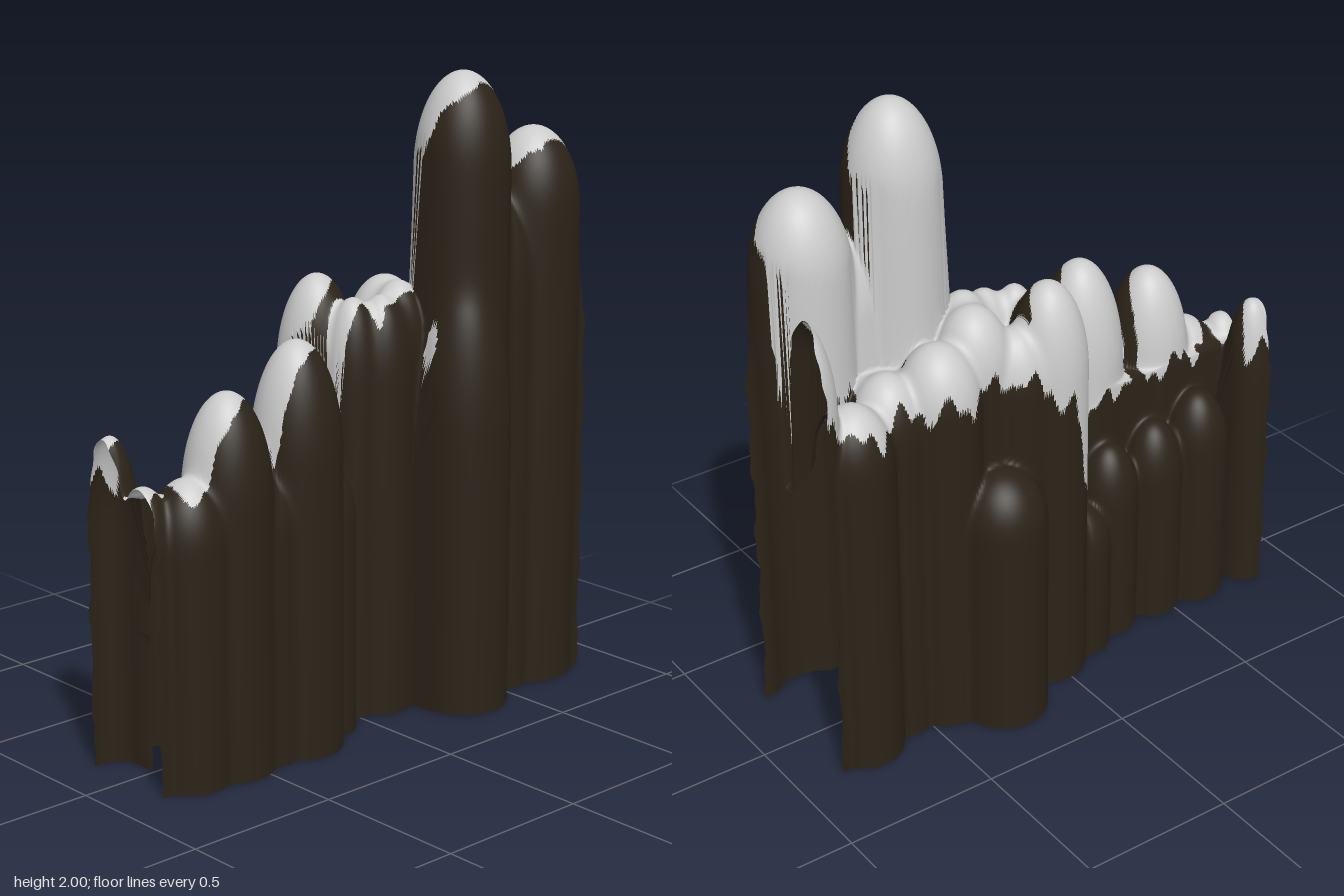
import * as THREE from 'three';

// Rounded pillars: x, z, radius, top height, dome length
const PILLARS = [
  // front row
  [-0.83, 0.08, 0.09, 0.92, 0.2], [-0.7, 0.12, 0.12, 0.93, 0.2], [-0.55, 0.12, 0.135, 1.16, 0.32],
  [-0.42, 0.13, 0.1, 0.9, 0.2], [-0.28, 0.12, 0.14, 1.27, 0.36], [-0.13, 0.08, 0.095, 0.86, 0.2],
  [0.04, 0.02, 0.09, 1.33, 0.25], [0.13, 0.05, 0.1, 1.33, 0.25], [0.22, 0.03, 0.1, 1.36, 0.2],
  [0.395, 0.13, 0.15, 2.0, 0.3], [0.35, 0.19, 0.15, 1.4, 0.5],
  [0.71, 0.13, 0.15, 1.8, 0.26], [0.55, 0.14, 0.11, 1.6, 0.3], [0.83, 0.14, 0.1, 1.5, 0.5],
  // back row
  [-0.83, -0.07, 0.085, 1.04, 0.3], [-0.63, -0.05, 0.105, 0.76, 0.2], [-0.46, -0.04, 0.1, 0.7, 0.2],
  [-0.28, -0.04, 0.1, 0.68, 0.2], [-0.14, -0.08, 0.1, 0.52, 0.15], [0.01, -0.11, 0.125, 1.39, 0.3],
  [0.13, -0.11, 0.11, 1.27, 0.2], [0.25, -0.21, 0.14, 0.87, 0.18], [0.25, -0.06, 0.12, 1.36, 0.2],
  [0.4, -0.1, 0.13, 1.3, 0.2], [0.56, -0.07, 0.12, 1.24, 0.2], [0.72, -0.13, 0.125, 1.22, 0.2],
  [0.87, -0.12, 0.1, 1.54, 0.32],
];

// Piecewise linear lookup over [x, value] pairs
function lerpTable(table, x) {
  for (let i = 1; i < table.length; i++) {
    const [x0, a] = table[i - 1], [x1, b] = table[i];
    if (x <= x1) return a + (b - a) * Math.max(0, (x - x0) / (x1 - x0));
  }
  return table[table.length - 1][1];
}
const spineZ = x => lerpTable([[-0.2, 0.05], [-0.1, 0.03], [0, -0.04], [0.15, -0.03], [0.35, 0.03]], x);
const saddleY = x => lerpTable([[-0.85, 0.86], [-0.3, 0.86], [-0.13, 0.7], [0, 0.9], [0.2, 1.2], [0.6, 1.2], [0.85, 0.9]], x);
const snowLine = x => lerpTable([[-0.85, 0.88], [-0.3, 0.85], [-0.2, 0.76], [-0.13, 0.56], [-0.06, 0.7],
  [-0.01, 1.0], [0.15, 1.14], [0.76, 1.14], [0.85, 1.28]], x);

// Softly blended union of all pillars, negative inside
function field(x, y, z) {
  const k = 0.02;
  let f = Math.max(Math.abs(z - spineZ(x)) - 0.06, y - saddleY(x));
  for (const [cx, cz, r, h, d] of PILLARS) {
    const rho = Math.hypot(x - cx, z - cz) / r;
    if (rho > 2.5) continue;
    const g = (Math.hypot(rho, Math.max(0, (y - h + d) / d)) - 1) * r;
    const m = Math.max(k - Math.abs(f - g), 0) / k;
    f = Math.min(f, g) - m * m * k * 0.25;
  }
  return f;
}

// Outermost surface point along a ray in the slice at x
function hit(x, y0, dz, dy) {
  const z0 = spineZ(x);
  const f = s => field(x, y0 + dy * s, z0 + dz * s);
  let s = 1.1;
  while (s > 0.03 && f(s) > 0) s -= 0.02;
  let lo = s, hi = s + 0.02;
  for (let i = 0; i < 8; i++) {
    const mid = (lo + hi) / 2;
    if (f(mid) > 0) hi = mid; else lo = mid;
  }
  return [y0 + dy * lo, z0 + dz * lo];
}

export function createModel() {
  const NX = 280, WALL = 10, FAN = 150, HALF = 0.85, BASE = 0.42;
  const rows = WALL * 2 + FAN + 1;
  const pos = [], index = [];

  // Skin: each slice runs up the front wall, over the top and down the back
  for (let i = 0; i <= NX; i++) {
    const x = -HALF + (2 * HALF * i) / NX;
    for (let j = 0; j < rows; j++) {
      let p;
      if (j < WALL) p = hit(x, (BASE * j) / WALL, 0.36, 0);
      else if (j > WALL + FAN) p = hit(x, (BASE * (rows - 1 - j)) / WALL, -0.36, 0);
      else {
        const a = (Math.PI * (j - WALL)) / FAN;
        p = hit(x, BASE, 0.36 * Math.cos(a), 1.6 * Math.sin(a));
      }
      // ragged open ends
      const rag = i === 0 || i === NX ? 0.005 * Math.sin(p[0] * 23) + 0.003 * Math.sin(p[0] * 61) : 0;
      pos.push(x + rag, p[0], p[1]);
      if (i < NX && j < rows - 1) {
        const a = i * rows + j, b = a + rows;
        index.push(a, b, b + 1, a, b + 1, a + 1);
      }
    }
  }
  const skin = new THREE.BufferGeometry();
  skin.setAttribute('position', new THREE.Float32BufferAttribute(pos, 3));
  skin.setIndex(index);
  skin.computeVertexNormals();

  // Snow lies on the tops and on faces turned to the back
  const n = skin.attributes.normal;
  const isSnow = v => {
    const x = pos[v * 3], y = pos[v * 3 + 1], z = pos[v * 3 + 2];
    const wobble = Math.sin(x * 41 + z * 17) * 0.6 + Math.sin(x * 97 + y * 13) * 0.4;
    const sideways = x < 0.1 ? 0.4 : 0;
    const facing = n.getY(v) - 0.6 * n.getZ(v) - sideways * n.getX(v);
    return y > snowLine(x) + 0.05 * wobble && facing > 0.2 + 0.06 * wobble;
  };
  const rockIndex = [], snowIndex = [];
  for (let t = 0; t < index.length; t += 3) {
    const tri = index.slice(t, t + 3);
    const covered = tri.filter(isSnow).length >= 2;
    (covered ? snowIndex : rockIndex).push(...tri);
  }

  const group = new THREE.Group();
  const addPart = (name, idx, color) => {
    const geo = new THREE.BufferGeometry();
    geo.setAttribute('position', skin.attributes.position);
    geo.setAttribute('normal', n);
    geo.setIndex(idx);
    const mesh = new THREE.Mesh(geo, new THREE.MeshStandardMaterial({ color, side: THREE.DoubleSide }));
    mesh.name = name;
    group.add(mesh);
  };
  addPart('rockPillars', rockIndex, 0x2b2318);
  addPart('snowCap', snowIndex, 0xcccccc);
  return group;
}
